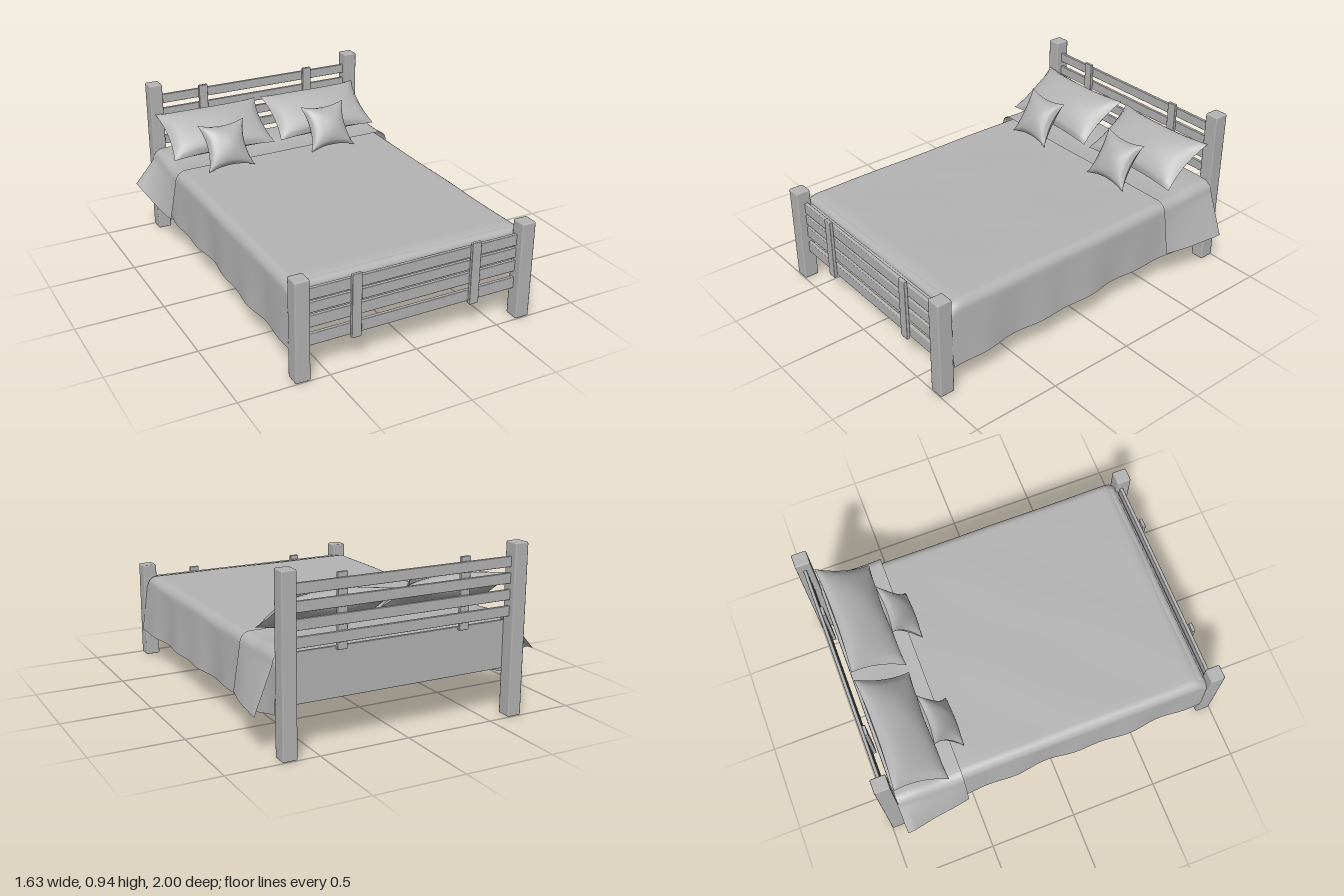
import * as THREE from 'three';
import { RoundedBoxGeometry } from 'three/addons/geometries/RoundedBoxGeometry.js';
import { mergeGeometries } from 'three/addons/utils/BufferGeometryUtils.js';

export function createModel() {
  const bed = new THREE.Group();
  bed.name = 'bed';
  const grey = new THREE.MeshStandardMaterial({ color: 0xb4b4b4, side: THREE.DoubleSide });
  grey.name = 'plain grey';

  const add = (name, geometry, parent = bed) => {
    const mesh = new THREE.Mesh(geometry, grey);
    mesh.name = name;
    parent.add(mesh);
    return mesh;
  };

  // Beam given by its limits on each axis, with a narrow bevel
  const beam = (name, [x0, x1], [y0, y1], [z0, z1], bevel = 0.004) => {
    const g = new RoundedBoxGeometry(x1 - x0, y1 - y0, z1 - z0, 1, bevel);
    return add(name, g).position.set((x0 + x1) / 2, (y0 + y1) / 2, (z0 + z1) / 2);
  };

  // Corner posts
  for (const [x0, x1] of [[-0.695, -0.615], [0.62, 0.7]]) {
    beam('headPost', [x0, x1], [0, 0.935], [-1, -0.915], 0.008);
  }
  for (const [x0, x1] of [[-0.69, -0.607], [0.625, 0.708]]) {
    beam('footPost', [x0, x1], [0, 0.565], [0.915, 1], 0.008);
  }

  // Headboard rails and battens
  for (const y of [0.833, 0.746, 0.659, 0.572]) {
    beam('headRail', [-0.63, 0.635], [y - 0.028, y + 0.028], [-0.967, -0.948]);
  }
  for (const x of [-0.35, 0.352]) {
    beam('headBatten', [x - 0.028, x + 0.028], [0.5, 0.885], [-0.949, -0.93]);
  }

  // Footboard rails and battens
  for (const [y0, y1] of [[0.425, 0.49], [0.353, 0.412], [0.272, 0.338], [0.17, 0.237]]) {
    beam('footRail', [-0.62, 0.64], [y0, y1], [0.935, 0.956]);
  }
  for (const x of [-0.337, 0.362]) {
    beam('footBatten', [x - 0.028, x + 0.028], [0.155, 0.515], [0.955, 0.975]);
  }

  // Side rails and slatted base
  for (const x of [-0.645, 0.66]) {
    beam('sideRail', [x - 0.015, x + 0.015], [0.245, 0.3], [-0.92, 0.92]);
  }
  const slatCount = 38;
  for (let i = 0; i < slatCount; i++) {
    const z = -0.88 + (1.76 * i) / (slatCount - 1);
    beam('slat', [-0.635, 0.65], [0.252, 0.268], [z - 0.016, z + 0.016], 0.002);
  }

  // Mattress
  const mattress = add('mattress', new RoundedBoxGeometry(1.32, 0.235, 1.83, 4, 0.035));
  mattress.position.set(0.005, 0.385, -0.003);

  // Cloth laid over the mattress; hem(side, z) gives the [x, y] of its lower edge
  const drape = (name, z0, z1, top, flat, radius, hem, ripple) => {
    const g = new THREE.PlaneGeometry(2, 1, 64, 48);
    const p = g.attributes.position;
    for (let i = 0; i < p.count; i++) {
      const s = p.getX(i);
      const side = s < 0 ? -1 : 1;
      const z = z1 + (z0 - z1) * (p.getY(i) + 0.5);
      const a = Math.abs(s);
      const q = Math.max(0, (a - 0.5) / 0.5);
      const topY = top(z);
      let x = Math.min(a / 0.5, 1) * flat;
      let y = topY + 0.002 * Math.sin(9 * z + 5 * s) * Math.sin(7 * s);
      if (q > 0) {
        const turn = Math.min(q / 0.4, 1) * Math.PI / 2;
        x += radius * Math.sin(turn);
        y -= radius * (1 - Math.cos(turn));
      }
      if (q > 0.4) {
        const d = (q - 0.4) / 0.6;
        const [hx, hy] = hem(side, z);
        x += (hx - x) * d + ripple * d * Math.sin(13 * z + side) * Math.sin(5 * z + 2);
        y += (hy - y) * d;
      }
      p.setXYZ(i, 0.007 + side * x, y, z);
    }
    g.computeVertexNormals();
    return add(name, g);
  };

  // Blanket, sinking slightly at the foot
  drape('blanket', -0.915, 0.925,
    z => 0.508 - 0.05 * Math.max(0, (z - 0.86) / 0.065) ** 2,
    0.63, 0.055,
    (side, z) => [0.7 + (side > 0 ? 0.015 : 0) * (z + 1) / 2,
      z < -0.75 ? 0.18 - 0.2 * (z + 0.75) : 0.18 - 0.018 * Math.max(0, z)],
    0.014);

  // Turned-down fold, flaring outwards towards the head
  const flare = z => Math.min(1, (-0.54 - z) / 0.34);
  drape('turnedFold', -0.92, -0.54,
    z => 0.53 + 0.006 * Math.sin((z + 0.54) * 16),
    0.645, 0.06,
    (side, z) => [0.745 + (side < 0 ? 0.08 : 0.06) * flare(z),
      side < 0 ? 0.24 + 0.09 * flare(z) ** 2 : 0.225],
    0.006);

  // Sheet closing the head end
  beam('headSheet', [-0.67, 0.685], [0.25, 0.515], [-0.922, -0.905]);

  // Cushion with pinched edges and drawn-out corners
  const cushion = (name, w, h, t, pinchX, pinchY) => {
    const face = new THREE.PlaneGeometry(2, 2, 24, 24);
    const p = face.attributes.position;
    for (let i = 0; i < p.count; i++) {
      const u = p.getX(i), v = p.getY(i);
      const bulge = Math.sqrt(Math.max(0, (1 - u * u) * (1 - v * v)));
      p.setXYZ(i,
        u * (w / 2) * (1 - pinchX * (1 - v * v)),
        v * (h / 2) * (1 - pinchY * (1 - u * u)),
        (t / 2) * bulge * (1 + 0.05 * Math.sin(4 * u) * Math.cos(3 * v)));
    }
    face.computeVertexNormals();
    return add(name, mergeGeometries([face, face.clone().rotateY(Math.PI)]));
  };

  // Two large pillows leaning on the headboard
  for (const x of [-0.35, 0.338]) {
    const pillow = cushion('pillow', 0.645, 0.35, 0.15, 0.07, 0.1);
    pillow.position.set(x, 0.662, -0.762);
    pillow.rotation.x = -THREE.MathUtils.degToRad(57);
  }

  // Two small square cushions in front
  for (const x of [-0.37, 0.3]) {
    const small = cushion('smallCushion', 0.29, 0.285, 0.12, 0.2, 0.17);
    small.position.set(x, 0.633, -0.552);
    small.rotation.x = -THREE.MathUtils.degToRad(33);
  }

  return bed;
}
